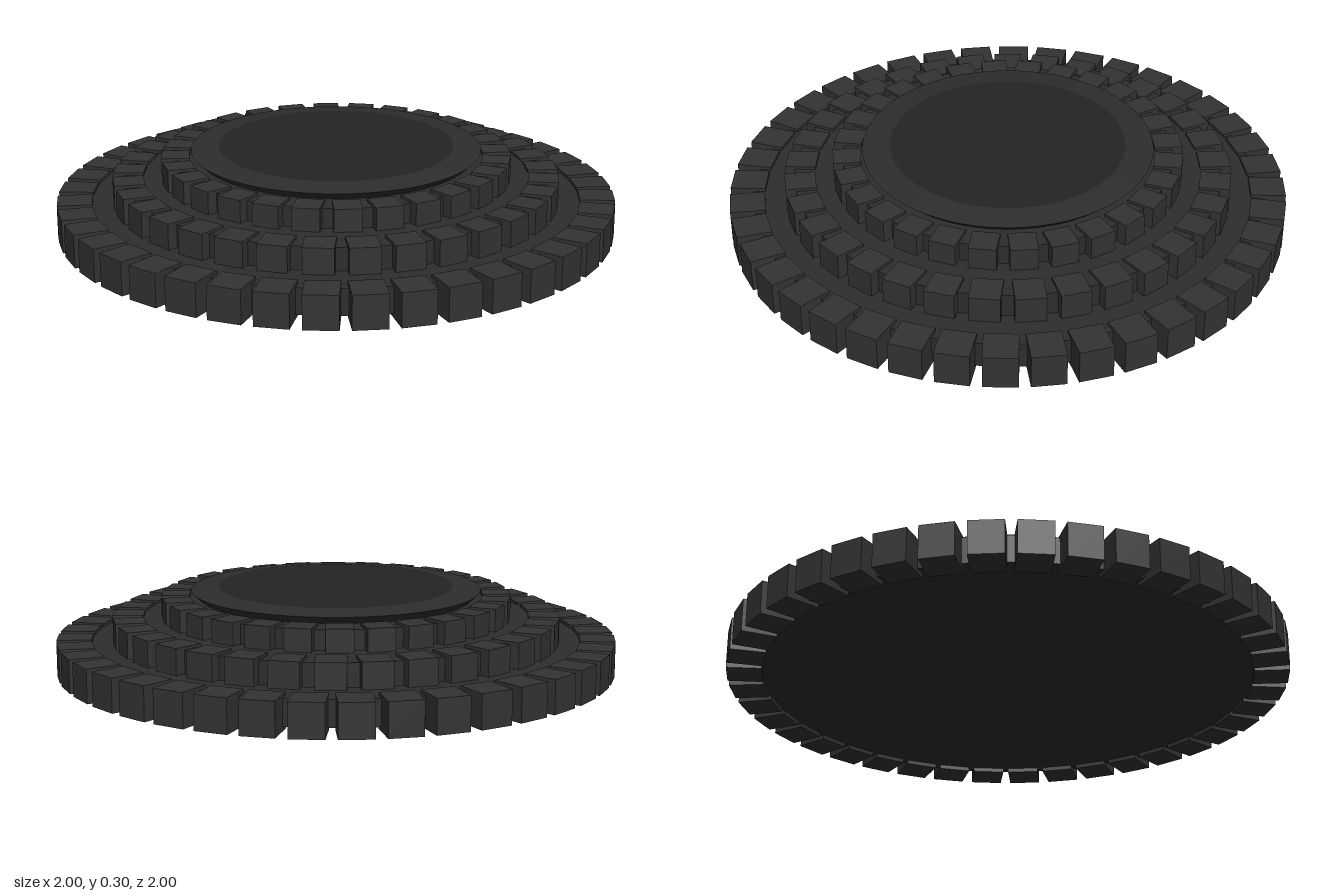
import * as THREE from 'three';

const blockMat = new THREE.MeshStandardMaterial({ color: 0x333333 });
blockMat.name = 'charcoal blocks';
const discMat = new THREE.MeshStandardMaterial({ color: 0x2d2d2d });
discMat.name = 'dark discs';
const lidMat = new THREE.MeshStandardMaterial({ color: 0x242424 });
lidMat.name = 'black lid';

// Each tier is a disc with a ring of square teeth around its edge
const tiers = [
  { name: 'lower', count: 40, inner: 0.875, outer: 1.0, width: 0.118, bottom: 0, top: 0.12, discRadius: 0.915, discBottom: 0.015, discTop: 0.108 },
  { name: 'middle', count: 33, inner: 0.69, outer: 0.8, width: 0.105, bottom: 0.09, top: 0.2, discRadius: 0.765, discBottom: 0.1, discTop: 0.19 },
  { name: 'upper', count: 28, inner: 0.525, outer: 0.625, width: 0.095, bottom: 0.17, top: 0.27, discRadius: 0.59, discBottom: 0.18, discTop: 0.26 },
];

function makeTier(t) {
  const group = new THREE.Group();
  group.name = t.name + 'Tier';

  const height = t.discTop - t.discBottom;
  const disc = new THREE.Mesh(new THREE.CylinderGeometry(t.discRadius, t.discRadius, height, 96), discMat);
  disc.name = t.name + 'Disc';
  disc.position.y = t.discBottom + height / 2;
  group.add(disc);

  const box = new THREE.BoxGeometry(t.width, t.top - t.bottom, t.outer - t.inner);
  box.translate(0, (t.top + t.bottom) / 2, (t.outer + t.inner) / 2);
  for (let i = 0; i < t.count; i++) {
    const block = new THREE.Mesh(box, blockMat);
    block.name = t.name + 'Block';
    block.rotation.y = (i / t.count) * Math.PI * 2;
    group.add(block);
  }
  return group;
}

function lathe(name, points, mat) {
  const mesh = new THREE.Mesh(new THREE.LatheGeometry(points.map(([r, y]) => new THREE.Vector2(r, y)), 96), mat);
  mesh.name = name;
  return mesh;
}

export function createModel() {
  const model = new THREE.Group();
  model.name = 'tieredDisc';
  for (const t of tiers) model.add(makeTier(t));

  // Lid: undercut side, bevelled rim and flat centre
  model.add(lathe('lidSide', [[0.485, 0.255], [0.52, 0.287]], discMat));
  model.add(lathe('lidRim', [[0.52, 0.287], [0.42, 0.298]], discMat));
  model.add(lathe('lidCentre', [[0.42, 0.298], [0, 0.3]], lidMat));
  return model;
}
